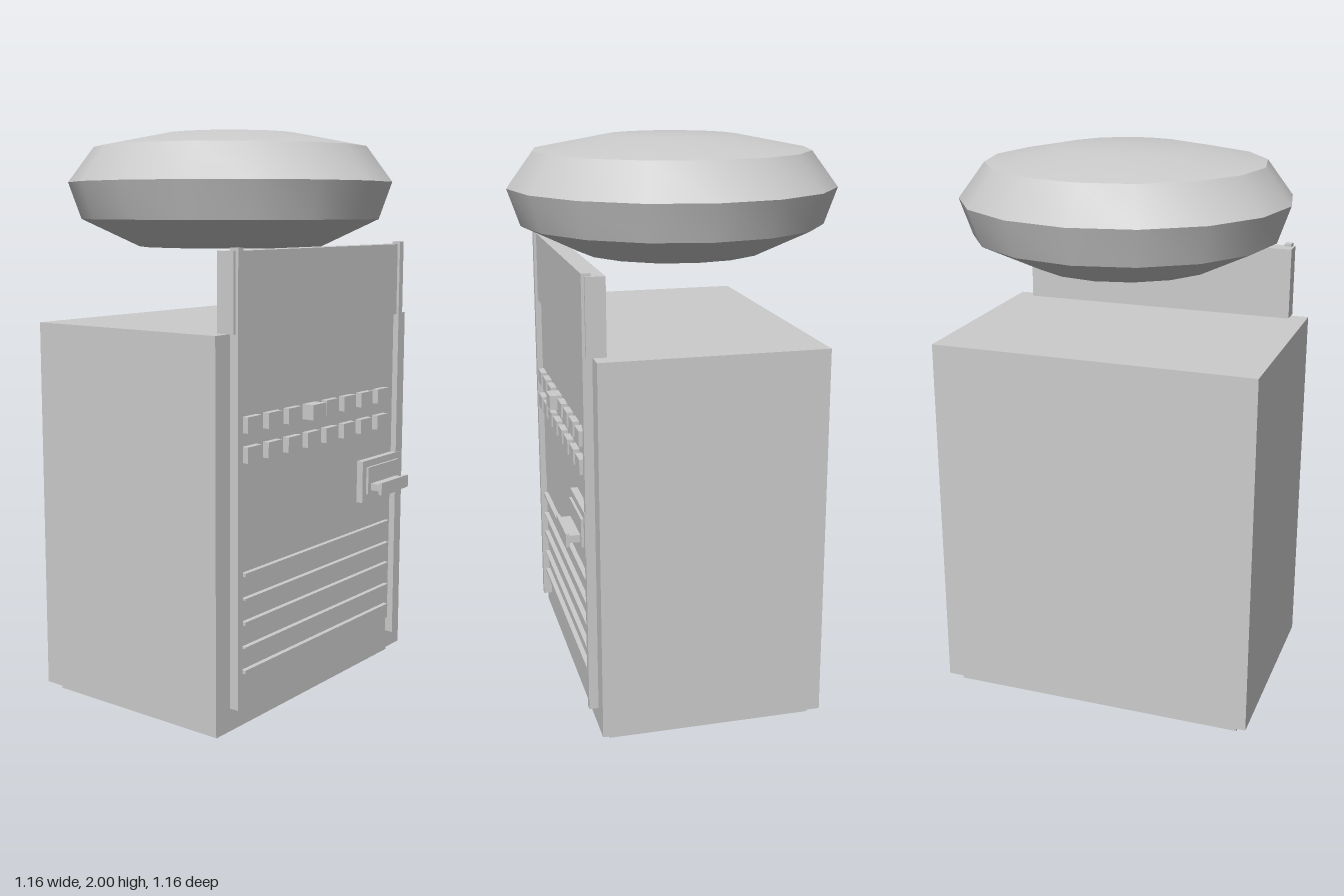
import * as THREE from 'three';
import { toCreasedNormals } from 'three/addons/utils/BufferGeometryUtils.js';

export function createModel() {
  const model = new THREE.Group();
  const grey = new THREE.MeshStandardMaterial({ color: 0xcccccc });
  grey.name = 'light grey';

  // Box given by its lower and upper corner
  function box(name, x0, x1, y0, y1, z0, z1) {
    const mesh = new THREE.Mesh(new THREE.BoxGeometry(x1 - x0, y1 - y0, z1 - z0), grey);
    mesh.position.set((x0 + x1) / 2, (y0 + y1) / 2, (z0 + z1) / 2);
    mesh.name = name;
    model.add(mesh);
  }

  // Cabinet on a recessed plinth
  box('plinth', -0.54, 0.54, 0, 0.03, -0.36, 0.36);
  box('cabinet', -0.58, 0.58, 0.03, 1.34, -0.39, 0.39);

  // Front: raised back board, door panels and side rails
  box('upperBoard', -0.515, 0.515, 1.34, 1.6, 0.345, 0.412);
  box('buttonPanel', -0.48, 0.48, 0.635, 1.345, 0.38, 0.4);
  box('lowerPanel', -0.48, 0.48, 0.155, 0.635, 0.38, 0.398);
  for (const s of [-1, 1]) {
    box('rail', s * 0.492 - 0.013, s * 0.492 + 0.013, 0.1, 1.61, 0.39, 0.422);
  }

  // Two rows of push buttons, one standing further out
  for (let row = 0; row < 2; row++) {
    for (let i = 0; i < 8; i++) {
      const x = -0.455 + i * 0.1135;
      const y = row ? 0.92 : 1.018;
      const front = row === 0 && i === 3 ? 0.445 : 0.423;
      box('button', x, x + 0.075, y, y + 0.053, 0.39, front);
    }
  }

  // Horizontal slats
  for (let i = 0; i < 5; i++) {
    const h = i % 2 ? 0.006 : 0.012;
    const y = 0.215 + i * 0.083;
    box('slat', -0.455, 0.452, y - h / 2, y + h / 2, 0.39, 0.415);
  }

  // Latch plate and T-shaped handle
  box('latchFrame', 0.24, 0.505, 0.66, 0.815, 0.39, 0.425);
  box('latchPlate', 0.265, 0.485, 0.69, 0.79, 0.42, 0.434);
  box('handleStem', 0.285, 0.465, 0.702, 0.728, 0.43, 0.472);
  box('handleGrip', 0.28, 0.47, 0.69, 0.736, 0.47, 0.483);

  // Sixteen-sided domed cap floating above the cabinet
  const profile = [
    [0, 1.595], [0.33, 1.597], [0.535, 1.694], [0.58, 1.822],
    [0.488, 1.945], [0.235, 1.994], [0, 2],
  ].map(([r, y]) => new THREE.Vector2(r, y));
  const cap = new THREE.Mesh(toCreasedNormals(new THREE.LatheGeometry(profile, 16), 0.55), grey);
  cap.name = 'domedCap';
  model.add(cap);

  return model;
}
